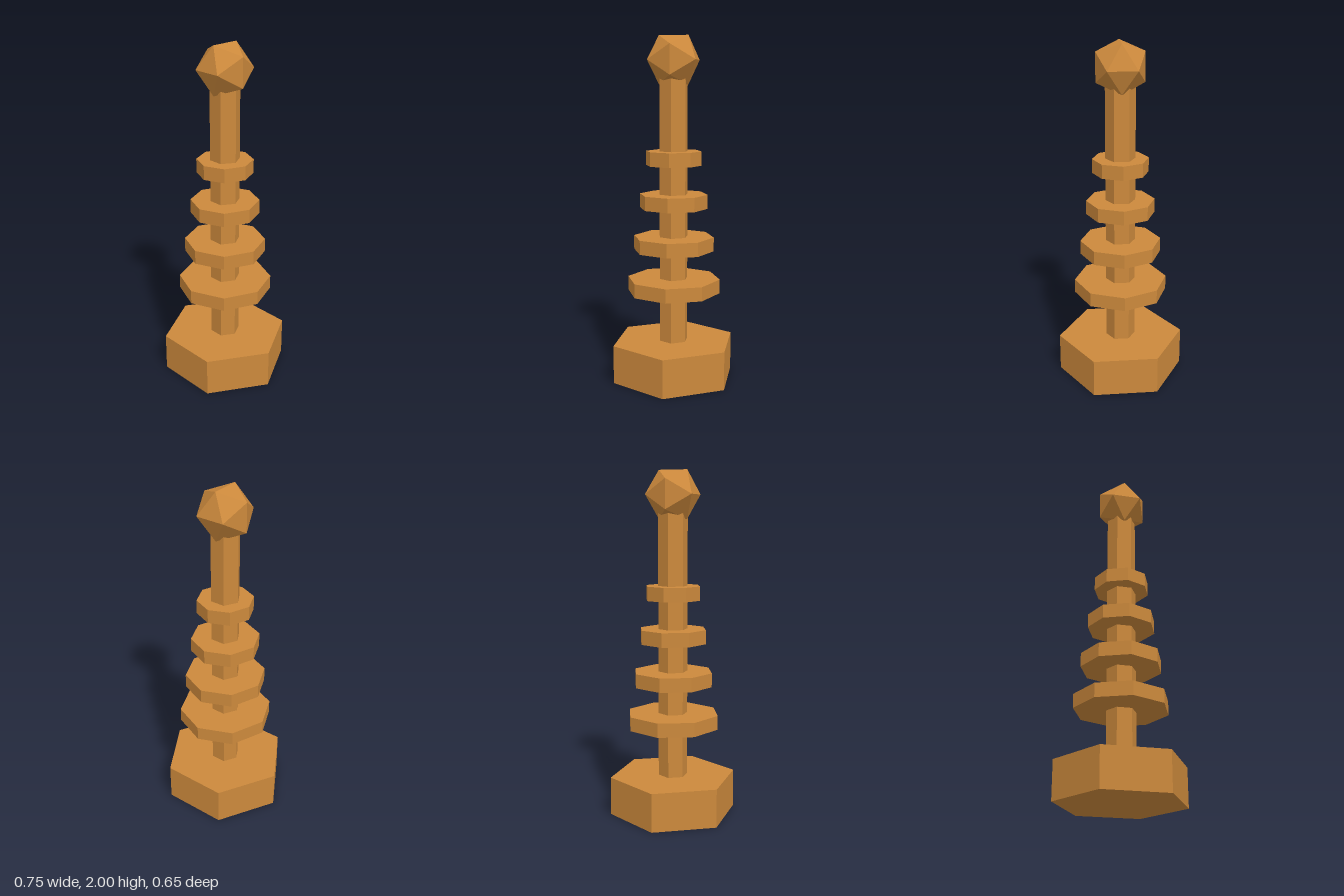
import * as THREE from 'three';

export function createModel() {
  const group = new THREE.Group();
  const bronze = new THREE.MeshStandardMaterial({ color: 0xcc893c, flatShading: true });
  bronze.name = 'bronze';

  // Upright prism with corners on the x axis, spanning y0 to y1
  const addPrism = (name, radius, sides, y0, y1) => {
    const geometry = new THREE.CylinderGeometry(radius, radius, y1 - y0, sides, 1, false, Math.PI / 2);
    const mesh = new THREE.Mesh(geometry, bronze);
    mesh.name = name;
    mesh.position.y = (y0 + y1) / 2;
    group.add(mesh);
  };

  addPrism('base', 0.373, 6, 0, 0.225);
  addPrism('pole', 0.086, 6, 0.225, 1.8);

  // Octagonal discs, narrowing upwards
  for (let i = 0; i < 4; i++) {
    const y = 0.56 + i * 0.249;
    addPrism(`disc${i + 1}`, 0.273 - i * 0.037, 8, y - 0.041, y + 0.041);
  }

  // Faceted knob, turned so its top edge runs front to back
  const knob = new THREE.Mesh(new THREE.IcosahedronGeometry(0.161, 0), bronze);
  knob.name = 'knob';
  knob.rotation.y = Math.PI / 2;
  knob.position.y = 1.863;
  group.add(knob);

  return group;
}
